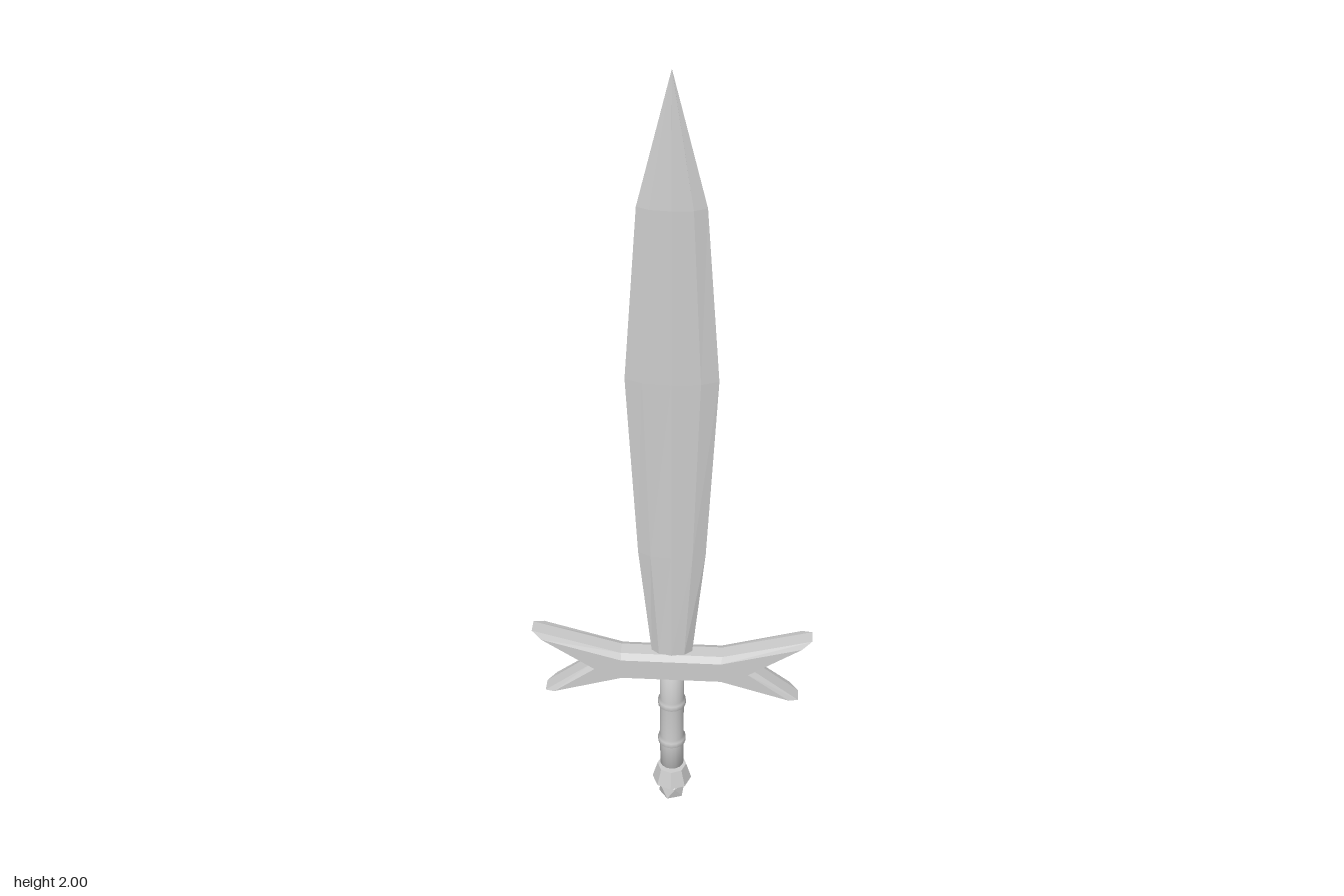
import * as THREE from 'three';

const flat = new THREE.MeshStandardMaterial({ color: 0xcccccc, flatShading: true });
const smooth = new THREE.MeshStandardMaterial({ color: 0xcccccc });

function add(group, name, geometry, material = flat) {
  const mesh = new THREE.Mesh(geometry, material);
  mesh.name = name;
  group.add(mesh);
  return mesh;
}

// Skins equal-length loops of points into one solid, with optional triangulated caps.
function loft(loops, caps) {
  const n = loops[0].length, index = [];
  for (let r = 0; r < loops.length - 1; r++) {
    for (let i = 0; i < n; i++) {
      const j = (i + 1) % n, a = r * n + i, b = r * n + j;
      index.push(a, b, b + n, a, b + n, a + n);
    }
  }
  const last = (loops.length - 1) * n;
  for (const [a, b, c] of caps) index.push(a, c, b, last + a, last + b, last + c);
  const geometry = new THREE.BufferGeometry();
  geometry.setAttribute('position', new THREE.Float32BufferAttribute(loops.flat(2), 3));
  geometry.setIndex(index);
  geometry.computeVertexNormals();
  return geometry;
}

// Leaf-shaped blade: eight-sided section with a central ridge and bevelled edges.
function bladeGeometry() {
  const stations = [ // height, half width, half thickness
    [0.45, 0.047, 0.02], [0.5, 0.05, 0.02], [0.8, 0.08, 0.02],
    [1.28, 0.105, 0.021], [1.7, 0.075, 0.018], [2, 0.0005, 0.0005],
  ];
  const section = [[1, 0], [0.62, -0.77], [0, -1], [-0.62, -0.77], [-1, 0], [-0.62, 0.77], [0, 1], [0.62, 0.77]];
  const loops = stations.map(([y, w, t]) => section.map(([x, z]) => [x * w, y, z * t]));
  const caps = [];
  for (let i = 1; i < section.length - 1; i++) caps.push([0, i, i + 1]);
  return loft(loops, caps);
}

// Forked crossguard: outline mirrored in x, inset on the front and back faces.
function guardGeometry() {
  const full = [[0.125, 0.427], [0.315, 0.37], [0.2, 0.46], [0.342, 0.56], [0.125, 0.5]];
  const inset = [[0.122, 0.435], [0.292, 0.382], [0.189, 0.46], [0.318, 0.548], [0.122, 0.491]];
  const outline = (half, z) => [
    ...half.map(([x, y]) => [x, y, z]),
    ...half.slice().reverse().map(([x, y]) => [-x, y, z]),
  ];
  const loops = [outline(inset, -0.036), outline(full, -0.018), outline(full, 0.018), outline(inset, 0.036)];
  const contour = loops[0].map(([x, y]) => new THREE.Vector2(x, y));
  return loft(loops, THREE.ShapeUtils.triangulateShape(contour, []));
}

// Round grip with two narrow raised bands.
function gripGeometry() {
  const profile = [[0, 0.127], [0.03, 0.127]];
  for (const y of [0.21, 0.335]) {
    profile.push([0.03, y - 0.012], [0.035, y - 0.007], [0.035, y + 0.007], [0.03, y + 0.012]);
  }
  profile.push([0.03, 0.44], [0, 0.44]);
  return new THREE.LatheGeometry(profile.map(([x, y]) => new THREE.Vector2(x, y)), 16);
}

export function createModel() {
  const sword = new THREE.Group();
  sword.name = 'sword';
  add(sword, 'blade', bladeGeometry());
  add(sword, 'crossguard', guardGeometry());
  add(sword, 'grip', gripGeometry(), smooth);

  // Flared eight-sided collar and faceted knob at the end of the grip.
  const pommel = new THREE.Group();
  pommel.name = 'pommel';
  add(pommel, 'pommelCollar', new THREE.CylinderGeometry(0.037, 0.05, 0.046, 8)).position.y = 0.095;
  const knob = new THREE.IcosahedronGeometry(0.037, 0);
  knob.rotateZ(-Math.atan2(1, (1 + Math.sqrt(5)) / 2));
  add(pommel, 'pommelKnob', knob).position.y = 0.037;
  sword.add(pommel);
  return sword;
}
